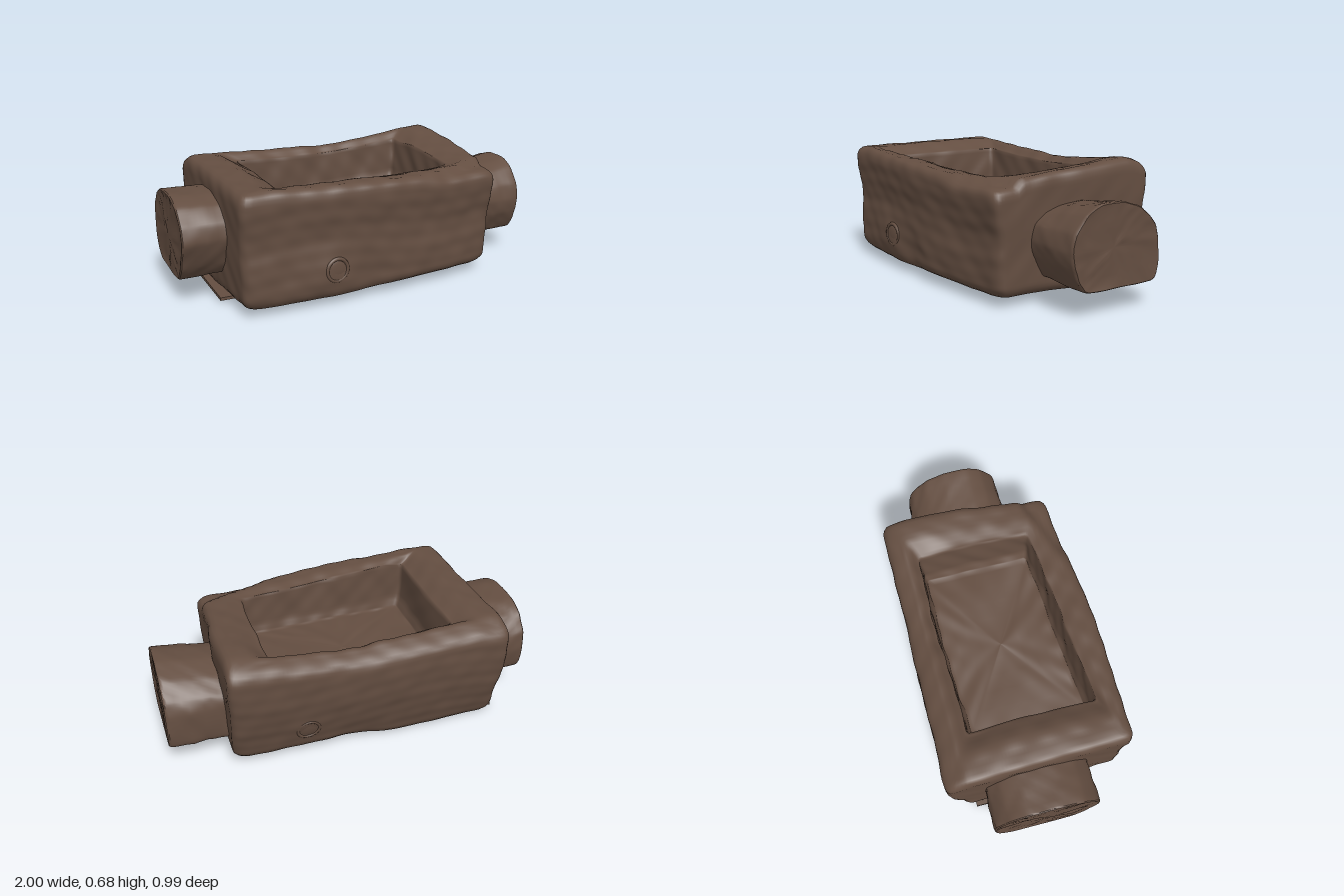
import * as THREE from 'three';
import { toCreasedNormals } from 'three/addons/utils/BufferGeometryUtils.js';

const { lerp, clamp, smoothstep } = THREE.MathUtils;
const bump = (a, b, r) => Math.exp(-(a * a + b * b) / (r * r));

// Smooth repeatable unevenness
const rough = (x, y, z) =>
  0.4 * Math.sin(9 * x + 4 * y + 1) * Math.cos(8 * z - 5 * y) +
  0.35 * Math.sin(19 * x - 13 * z + 2) * Math.sin(21 * y + 7 * z) +
  0.25 * Math.sin(41 * x + 9 * y) * Math.cos(37 * z + 33 * y);

// Skin a list of closed rings of points
function loft(rings, flip = false) {
  const n = rings[0].length, index = [];
  for (let i = 0; i < rings.length - 1; i++) {
    for (let j = 0; j < n; j++) {
      const a = i * n + j, b = i * n + (j + 1) % n, c = a + n, d = b + n;
      index.push(...(flip ? [a, c, b, b, c, d] : [a, b, c, b, d, c]));
    }
  }
  const g = new THREE.BufferGeometry();
  g.setAttribute('position', new THREE.Float32BufferAttribute(rings.flat(2), 3));
  g.setIndex(index);
  g.computeVertexNormals();
  return g;
}

// Perimeter of the unit square, counter-clockwise from above
function perimeter() {
  const out = [], nx = 72, nz = 48;
  for (let i = 0; i < nx; i++) out.push([-1 + 2 * i / nx, 1]);
  for (let i = 0; i < nz; i++) out.push([1, 1 - 2 * i / nz]);
  for (let i = 0; i < nx; i++) out.push([1 - 2 * i / nx, -1]);
  for (let i = 0; i < nz; i++) out.push([-1, -1 + 2 * i / nz]);
  return out;
}

// Sagging rim, worn along the back and split at the front left corner
const topY = (x, z) => 0.624 + 0.065 * x * x - 0.13 * z * Math.max(x, 0)
  - 0.018 * smoothstep(-x, 0.6, 0.77)
  - 0.04 * smoothstep(-z, 0.36, 0.48)
  - 0.035 * smoothstep(z + 0.4 * x, 0.52, 0.57) * smoothstep(x, 0.15, 0.4);

// Underside, lifted toward the left end
function bottomY(x, z) {
  const s = smoothstep(x, -0.35, 0.1);
  return Math.max(0.003, 0.014 + 0.03 * s + (0.06 - 0.05 * s) * z);
}

// Round the corners of a rectangle point by radius r
function rounded(u, v, hx, hz, r) {
  const x = u * hx, z = v * hz;
  const qx = clamp(x, r - hx, hx - r), qz = clamp(z, r - hz, hz - r);
  const l = Math.hypot(x - qx, z - qz);
  return l > r ? [qx + (x - qx) * r / l, qz + (z - qz) * r / l] : [x, z];
}

// Outside of the block at height fraction t, pulled in by inset
function outer(u, v, t, inset, scale = 1) {
  const corner = 0.06 + 0.05 * (1 - t);
  let [a, b] = rounded(u, v, 1 - inset / 0.73, 1 - inset / 0.48, corner);
  a *= scale; b *= scale;
  let x = lerp(-0.765 - 0.015 * t, 0.69 + 0.018 * t, (a + 1) / 2);
  // both ends run a little askew
  x += a > 0 ? -0.02 * a * a * smoothstep(b, -0.1, 0.3) : -0.012 * a * a * (0.3 - b);
  const end = smoothstep(x, -0.15, 0.75);
  const front = 0.475 - 0.065 * end + 0.015 * t - 0.025 * end * (1 - t)
    - 0.015 * bump(t - 0.55, 0, 0.2);
  const back = -0.395 - 0.095 * Math.sin(Math.min(t * 1.2, 1) * Math.PI / 2);
  let z = lerp(back, front, (b + 1) / 2);
  const y = lerp(bottomY(x, z), topY(x, z), t);
  // faint grain, and swelling round the front knot
  const side = Math.abs(b) > 0.9 ? Math.sign(b) : 0;
  z += side * 0.001 * (Math.sin(75 * y + 3 * Math.sin(4 * x)) + Math.sin(41 * y - 5 * x));
  if (side > 0) z += 0.012 * bump(x + 0.34, (y - 0.18) * 1.5, 0.16) - 0.02 * bump(x + 0.08, y - 0.15, 0.1);
  const n = 0.006 * rough(x, y, z);
  return [x + n * a, y + (t > 0.9 ? n : 0), z + n * b];
}

// The rim rolls over most along the back and the right end
const lip = (x, z) => 0.02 + 0.025 * Math.max(smoothstep(-z, 0.1, 0.3), smoothstep(-x, 0.4, 0.52));

// Inside of the hollow at depth fraction t (1 is the rim)
function hollow(u, v, t, scale = 1) {
  const grow = 0.97 + 0.03 * t - 0.04 * (1 - smoothstep(t, 0, 0.2));
  let [a, b] = rounded(u, v, 1, 1, 0.05);
  a *= scale * grow; b *= scale * grow;
  const x = lerp(-0.52, 0.47, (a + 1) / 2);
  const z = lerp(-0.315 - 0.025 * smoothstep(x, -0.5, 0.1), 0.36 - 0.09 * (x + 0.52), (b + 1) / 2);
  const y = lerp(0.36 + 0.05 * x, topY(x, z) - lip(x, z), t);
  const n = 0.012 * rough(x, y, z);
  return [x - n * a, y + (t < 0.1 ? n : 0), z - n * b];
}

function troughGeometry() {
  const p = perimeter(), rings = [];
  const add = f => rings.push(p.map(([u, v]) => f(u, v)));
  for (const s of [0, 0.2, 0.4, 0.6, 0.8, 0.92]) add((u, v) => outer(u, v, 0, 0.055, s));
  for (const [t, i] of [[0, 0.055], [0.012, 0.032], [0.035, 0.014], [0.07, 0.003]]) add((u, v) => outer(u, v, t, i));
  for (let t = 0.1; t < 0.92; t += 0.025) add((u, v) => outer(u, v, t, 0));
  for (const [t, i] of [[0.935, 0.003], [0.965, 0.011], [0.988, 0.024], [1, 0.045]]) add((u, v) => outer(u, v, t, i));
  // rim, rolling over into the hollow
  for (const k of [0.15, 0.3, 0.45, 0.6, 0.75, 0.87, 0.95]) add((u, v) => {
    const a = outer(u, v, 1, 0.045), b = hollow(u, v, 1);
    const x = lerp(a[0], b[0], k), z = lerp(a[2], b[2], k);
    return [x, topY(x, z) + 0.009 * rough(x, 0.6, z) - lip(b[0], b[2]) * smoothstep(k, 0.45, 1.05), z];
  });
  for (let t = 1; t > 0.02; t -= 0.08) add((u, v) => hollow(u, v, t));
  for (const s of [1, 0.93, 0.75, 0.55, 0.35, 0.15, 0]) add((u, v) => hollow(u, v, 0, s));
  return loft(rings);
}

// Stub handle: hewn section [z, y] lofted along x, closed at its end
function handleGeometry(section, from, to, innerDrop) {
  const curve = new THREE.CatmullRomCurve3(
    section.map(([z, y]) => new THREE.Vector3(0, y, z)), true, 'catmullrom', 0.3);
  const pts = curve.getPoints(84).slice(0, -1);
  const cy = 0.33, cz = -0.03, rings = [];
  const add = (k, s) => rings.push(pts.map(q => {
    const x = lerp(from, to, k);
    const w = 1 + 0.03 * rough(x * 1.5, q.y * 1.5, q.z * 1.5);
    const drop = innerDrop * (1 - k) * smoothstep(q.y, 0.35, 0.55);
    return [x + (s < 0.9 ? 0.008 * rough(x, q.y * s * 2, q.z * s * 2) - 0.004 * Math.sign(to) : 0),
      cy + (q.y - cy) * s * w - drop, cz + (q.z - cz) * s * w];
  }));
  for (let k = 0; k < 0.96; k += 0.095) add(k, 1);
  add(0.98, 0.995);
  for (const s of [0.97, 0.85, 0.65, 0.4, 0.2, 0]) add(1, s);
  return toCreasedNormals(loft(rings, to > 0), 0.6);
}

export function createModel() {
  const group = new THREE.Group();
  const wood = new THREE.MeshStandardMaterial({ color: 0x644e41 });
  wood.name = 'dark brown wood';
  const add = (name, geometry) => {
    const m = new THREE.Mesh(geometry, wood);
    m.name = name;
    group.add(m);
    return m;
  };

  add('trough', troughGeometry());

  add('leftHandle', handleGeometry([
    [0.215, 0.33], [0.195, 0.42], [0.13, 0.5], [0.05, 0.535], [-0.08, 0.543], [-0.2, 0.5],
    [-0.28, 0.42], [-0.308, 0.34], [-0.305, 0.17], [-0.27, 0.132], [-0.1, 0.13],
    [0.12, 0.133], [0.16, 0.17], [0.2, 0.25]], 0.62, 0.998, 0.06));

  add('rightHandle', handleGeometry([
    [0.262, 0.36], [0.245, 0.45], [0.17, 0.525], [0.06, 0.557], [-0.12, 0.555], [-0.22, 0.51],
    [-0.285, 0.42], [-0.297, 0.32], [-0.27, 0.2], [-0.2, 0.145], [-0.05, 0.14],
    [0.13, 0.145], [0.2, 0.22]], -0.7, -0.998, 0.01));

  // Splintered flake under the right end
  add('flake', new THREE.BoxGeometry(0.5, 0.016, 0.54)).position.set(-0.55, 0.022, -0.08);

  // Knots: a low lip round a shallow dome
  const knot = (name, x, y, z, rx, ry) => {
    const ring = add(name + 'Lip', new THREE.TorusGeometry(0.058, 0.01, 8, 32));
    const dome = add(name + 'Core', new THREE.SphereGeometry(0.05, 24, 12));
    for (const m of [ring, dome]) {
      m.position.set(x, y, z);
      m.rotation.set(rx, ry, 0);
    }
    dome.scale.z = 0.16;
  };
  knot('frontKnot', -0.28, 0.2, 0.482, 0, 0.1);
  knot('backKnot', 0.3, 0.2, -0.438, -0.25, Math.PI);

  return group;
}
